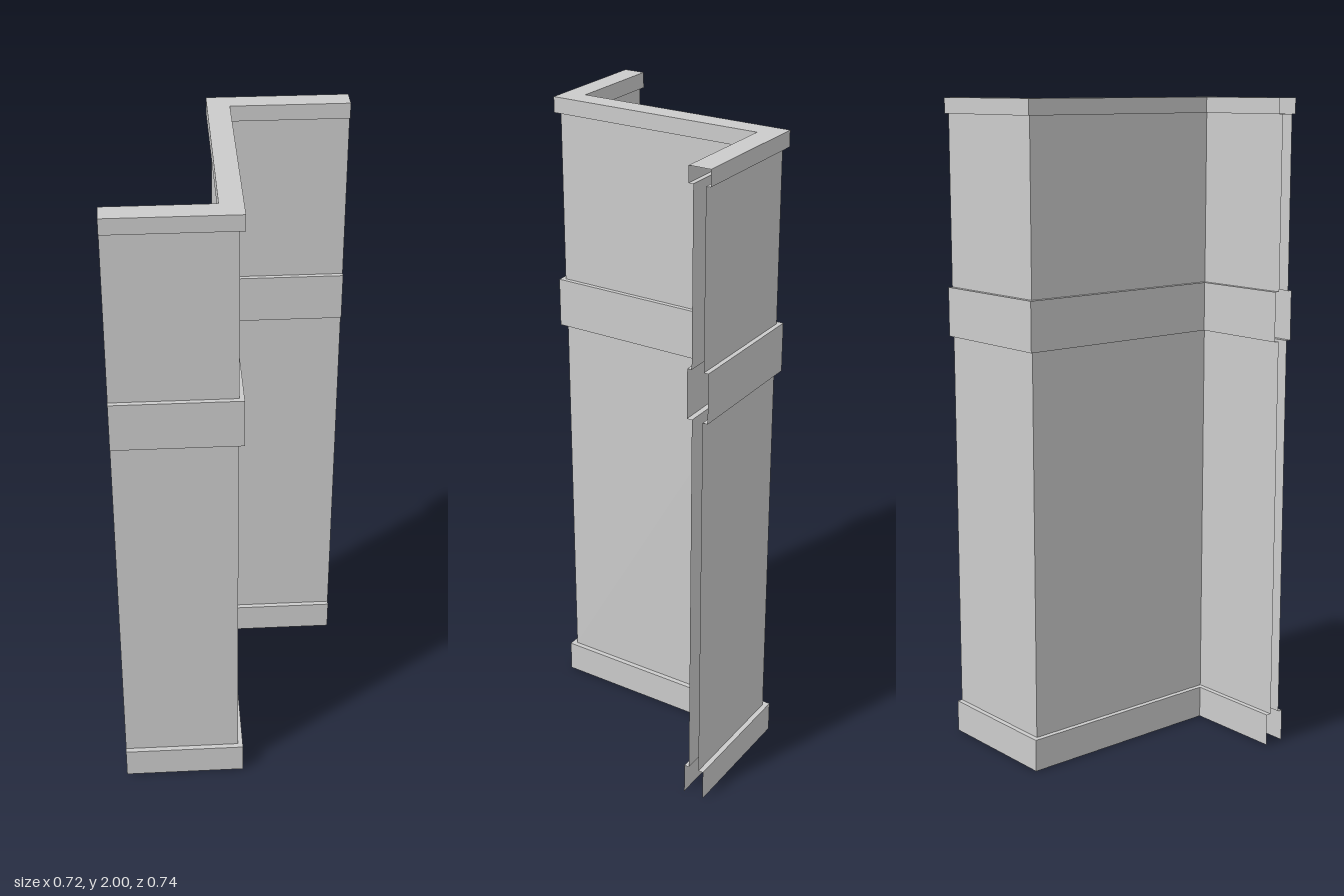
import * as THREE from 'three';

// Z-shaped plan centreline: two wings joined by a web, as [x, z]
const PLAN = [[-0.362, 0.338], [-0.02, 0.338], [-0.02, -0.338], [0.362, -0.338]];

// Plan line shifted sideways by d; the corners stay mitred and the ends flush
function offsetPlan(d) {
  return PLAN.map(([x, z], i) => [i === 0 || i === PLAN.length - 1 ? x : x + d, z + d]);
}

// Sweep a [offset, height] profile along both faces of the hollow wall
function sweepBothSides(profile) {
  const pos = [];
  for (const side of [1, -1]) {
    for (let p = 0; p < profile.length - 1; p++) {
      const [d0, y0] = profile[p];
      const [d1, y1] = profile[p + 1];
      const lo = offsetPlan(d0 * side);
      const hi = offsetPlan(d1 * side);
      for (let i = 0; i < PLAN.length - 1; i++) {
        const a = [lo[i][0], y0, lo[i][1]];
        const b = [lo[i + 1][0], y0, lo[i + 1][1]];
        const c = [hi[i + 1][0], y1, hi[i + 1][1]];
        const e = [hi[i][0], y1, hi[i][1]];
        const tris = side > 0 ? [a, b, c, a, c, e] : [a, c, b, a, e, c];
        pos.push(...tris.flat());
      }
    }
  }
  const geo = new THREE.BufferGeometry();
  geo.setAttribute('position', new THREE.Float32BufferAttribute(pos, 3));
  geo.computeVertexNormals();
  return geo;
}

export function createModel() {
  const group = new THREE.Group();
  group.name = 'corneredWall';
  const material = new THREE.MeshStandardMaterial({
    color: 0xcccccc, flatShading: true, side: THREE.DoubleSide,
  });

  const trim = 0.033, lower = 0.017, upper = 0.019;
  const parts = {
    // skirting, open underneath, with a ledge on top
    baseTrim: [[trim, 0], [trim, 0.1], [lower, 0.1]],
    lowerPanel: [[lower, 0.1], [lower, 1.285]],
    // raised band with a ledge above and below
    middleTrim: [[lower, 1.285], [trim, 1.285], [trim, 1.435], [upper, 1.435]],
    upperPanel: [[upper, 1.435], [upper, 1.953]],
    // capping, closed across the top
    topTrim: [[upper, 1.953], [trim, 1.953], [trim, 2], [0, 2]],
  };
  for (const [name, profile] of Object.entries(parts)) {
    const mesh = new THREE.Mesh(sweepBothSides(profile), material);
    mesh.name = name;
    group.add(mesh);
  }
  return group;
}
